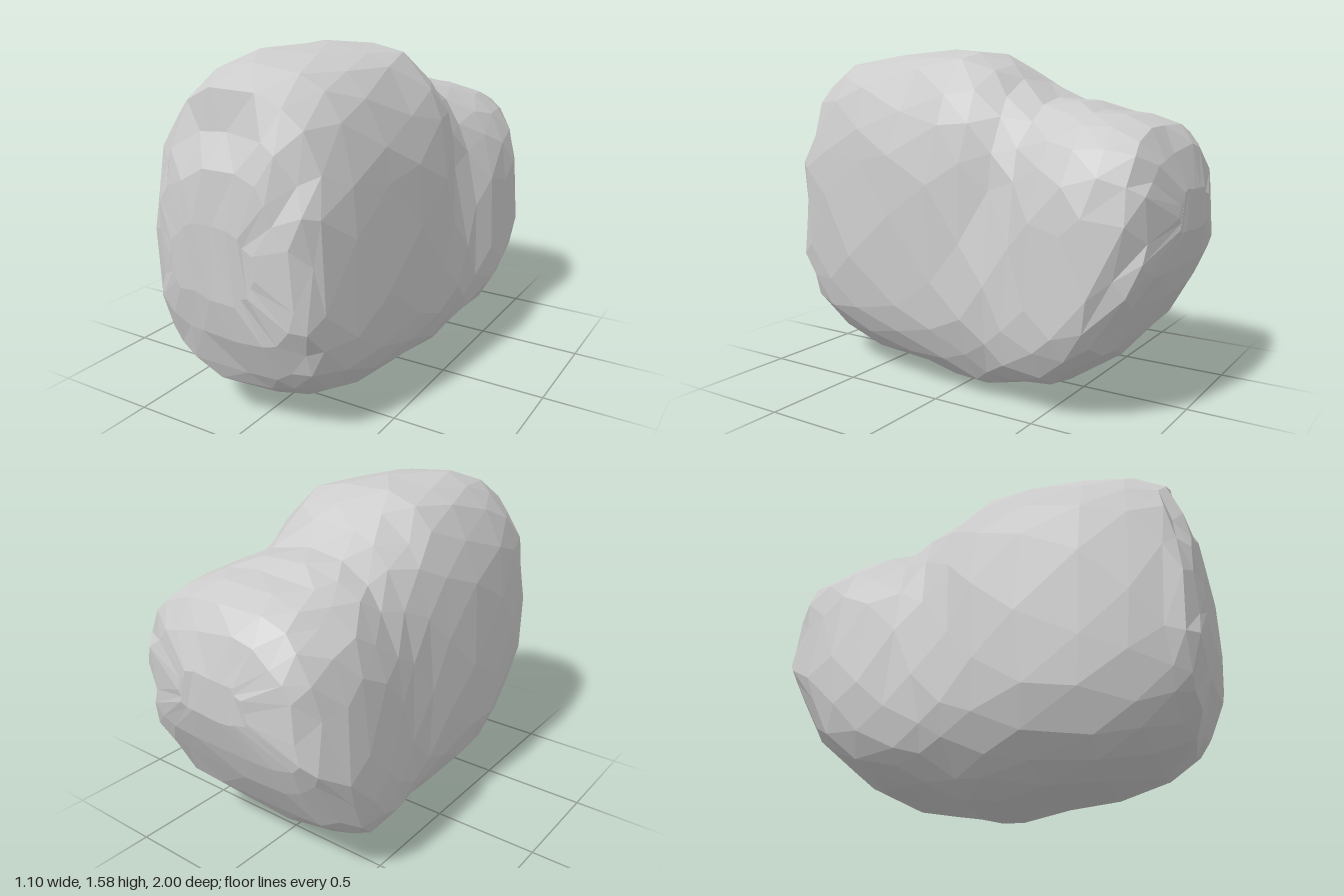
import * as THREE from 'three';

// Cross-sections from front to back: z, bottom y, top y, min x, max x
const SECTIONS = [
  [0.995, 0.62, 0.92, -0.27, 0.14],
  [0.97, 0.42, 1.12, -0.36, 0.28],
  [0.92, 0.27, 1.29, -0.41, 0.36],
  [0.86, 0.19, 1.45, -0.43, 0.39],
  [0.71, 0.105, 1.535, -0.465, 0.44],
  [0.50, 0.04, 1.565, -0.505, 0.475],
  [0.25, 0.025, 1.575, -0.525, 0.50],
  [0.03, 0.00, 1.565, -0.515, 0.51],
  [-0.12, 0.00, 1.505, -0.505, 0.51],
  [-0.24, 0.03, 1.43, -0.505, 0.50],
  [-0.36, 0.06, 1.355, -0.515, 0.505],
  [-0.50, 0.09, 1.335, -0.535, 0.525],
  [-0.63, 0.16, 1.31, -0.545, 0.54],
  [-0.75, 0.28, 1.285, -0.525, 0.54],
  [-0.87, 0.49, 1.245, -0.475, 0.475],
  [-0.94, 0.64, 1.14, -0.41, 0.38],
  [-0.995, 0.80, 0.98, -0.20, 0.16],
];
const SIDES = 20;

function makeRandom(seed) {
  return () => {
    seed = (seed * 16807) % 2147483647;
    return seed / 2147483647 - 0.5;
  };
}

const rounded = (v, power) => Math.sign(v) * Math.pow(Math.abs(v), 2 / power);

function boulderGeometry() {
  const { smoothstep } = THREE.MathUtils;
  const random = makeRandom(4711);
  const points = [];
  const index = [];
  const last = SECTIONS.length - 1;

  // Staggered, slightly uneven rings
  SECTIONS.forEach(([z, y0, y1, x0, x1], i) => {
    const isTip = i < 2 || i > last - 2;
    const jitter = isTip ? 0.01 : 0.05;
    const back = smoothstep(-z, 0.1, 0.5);
    for (let j = 0; j < SIDES; j++) {
      const angle = ((j + (i % 2) * 0.5 + random() * 0.4) / SIDES) * Math.PI * 2;
      // Square underside, rounder top, leaning in more on the right
      const power = Math.sin(angle) < 0 ? 3.1 + 0.7 * back : 2.75 + 0.2 * back;
      const lean = 0.035 + back * (Math.cos(angle) > 0 ? 0.03 : 0.055);
      const swell = 1 + random() * (isTip ? 0.2 : 0.025);
      const up = rounded(Math.sin(angle), power) * swell;
      const out = rounded(Math.cos(angle), power) * swell * (1 - lean * up);
      let x = (x0 + x1) / 2 + ((x1 - x0) / 2) * out;
      const y = (y0 + y1) / 2 + ((y1 - y0) / 2) * up;
      // Slanting crease between the lobes, deeper on the left
      const depth = x > 0 ? 0.14 : 0.05;
      const offset = z + 0.2 + 0.22 * (y - 0.7);
      x *= 1 - depth * smoothstep(y, 0.4, 1.0) * Math.exp(-((offset / 0.16) ** 2));
      points.push(x, Math.max(0, y), z + random() * jitter);
    }
  });

  // Facets between the rings
  for (let i = 0; i < last; i++) {
    for (let j = 0; j < SIDES; j++) {
      const k = (j + 1) % SIDES;
      const a = i * SIDES + j, b = i * SIDES + k;
      const d = a + SIDES, c = b + SIDES;
      if (i % 2) index.push(a, d, c, a, c, b);
      else index.push(a, d, b, b, d, c);
    }
  }

  // Front and back ends closed by zigzag strips
  const zigzag = (k) => (k % 2 ? (k + 1) / 2 : (SIDES - k / 2) % SIDES);
  for (let k = 0; k < SIDES - 2; k++) {
    const a = zigzag(k), b = zigzag(k + 1 + (k % 2)), c = zigzag(k + 2 - (k % 2));
    const end = last * SIDES;
    index.push(a, b, c, end + a, end + c, end + b);
  }

  const geometry = new THREE.BufferGeometry();
  geometry.setAttribute('position', new THREE.Float32BufferAttribute(points, 3));
  geometry.setIndex(index);
  const faceted = geometry.toNonIndexed();
  faceted.computeVertexNormals();
  return faceted;
}

export function createModel() {
  const group = new THREE.Group();
  group.name = 'rock';
  const material = new THREE.MeshStandardMaterial({ color: 0xcccccc, flatShading: true });
  const boulder = new THREE.Mesh(boulderGeometry(), material);
  boulder.name = 'boulder';
  group.add(boulder);
  return group;
}
